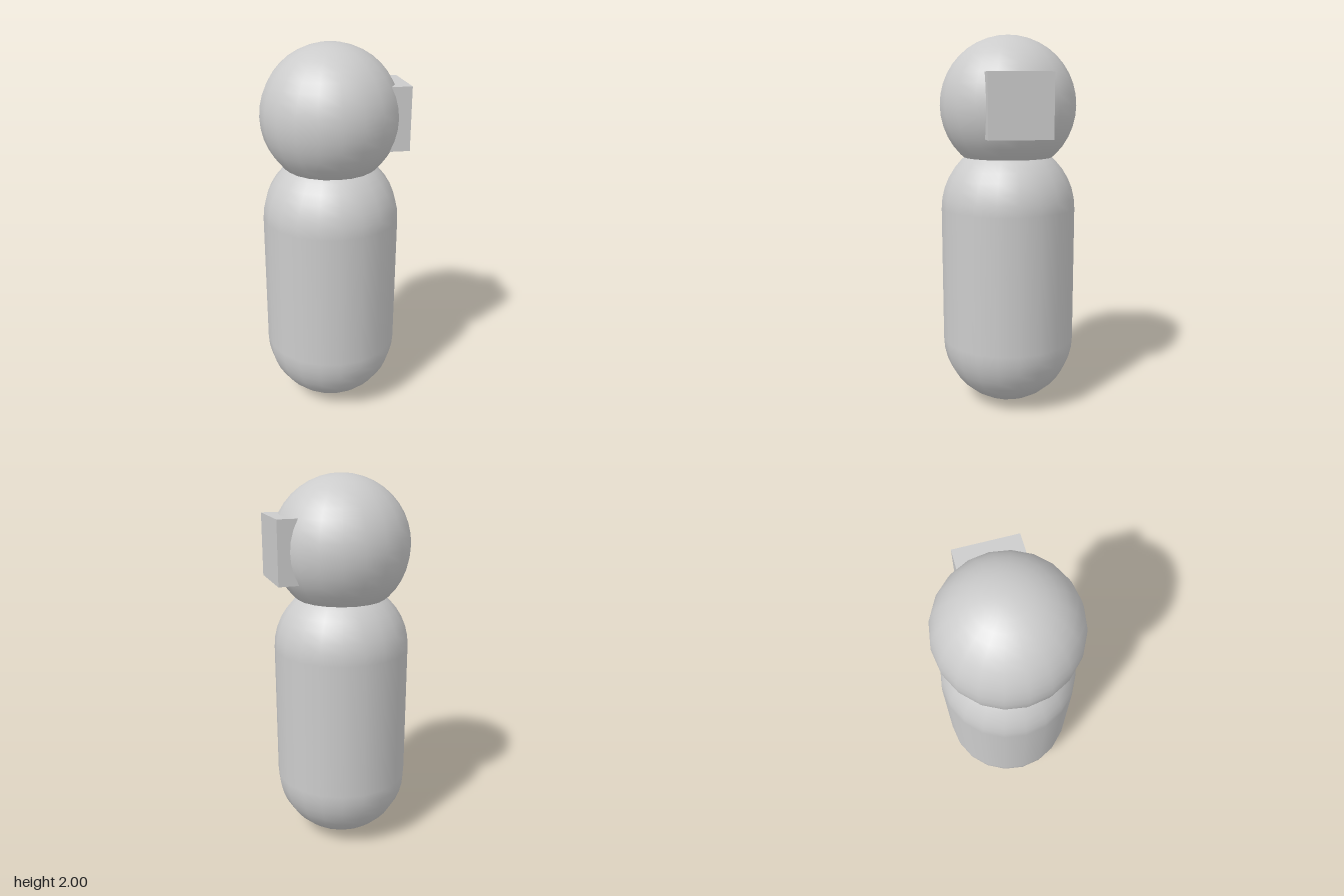
import * as THREE from 'three';

export function createModel() {
  const group = new THREE.Group();
  const material = new THREE.MeshStandardMaterial({ color: 0xcccccc });
  const radius = 0.362;
  const axisX = -0.01;
  const headY = 2 - radius;

  const add = (name, geometry, x, y) => {
    const mesh = new THREE.Mesh(geometry, material);
    mesh.name = name;
    mesh.position.set(x, y, 0);
    group.add(mesh);
  };

  // Upright capsule body, resting on the ground
  const straight = 0.73;
  add('body', new THREE.CapsuleGeometry(radius, straight, 10, 20), axisX, radius + straight / 2);

  // Round head sunk into the top of the body
  add('head', new THREE.SphereGeometry(radius, 20, 20), axisX, headY);

  // Cube set into the side of the head, its outer face just proud of the surface
  const cube = 0.325;
  add('faceBlock', new THREE.BoxGeometry(cube, cube, cube), 0.371 - cube / 2, headY);

  return group;
}
